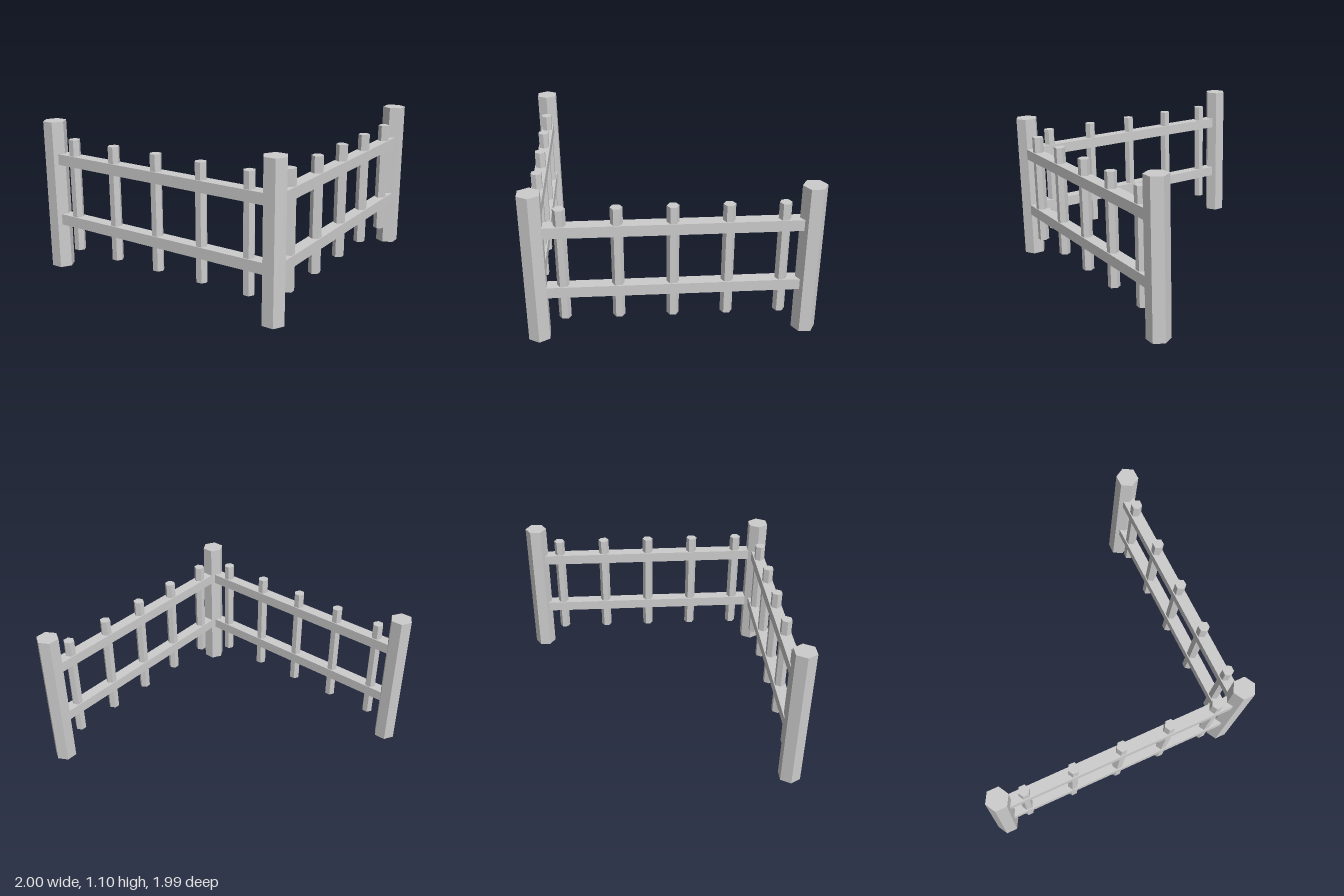
import * as THREE from 'three';

const SPAN = 1.8333; // distance between post centres
const POST_X = SPAN / 2;

export function createModel() {
  const model = new THREE.Group();
  model.name = 'cornerFence';
  const grey = new THREE.MeshStandardMaterial({ color: 0xcccccc, flatShading: true });
  grey.name = 'plain grey';

  // Hexagonal bars have a corner pointing along the run
  const hexBar = (radius, height) =>
    new THREE.CylinderGeometry(radius, radius, height, 6, 1, false, Math.PI / 2);
  const postGeometry = hexBar(0.0833, 1.1);
  const picketGeometry = hexBar(0.0417, 0.826);
  const railGeometry = new THREE.BoxGeometry(SPAN, 0.079, 0.0875);

  // One straight run of fence along x, with posts at the given positions
  function createRun(name, postPositions) {
    const run = new THREE.Group();
    run.name = name;
    const add = (part, geometry, x, y) => {
      const mesh = new THREE.Mesh(geometry, grey);
      mesh.name = part;
      mesh.position.set(x, y, 0);
      run.add(mesh);
    };
    for (const x of postPositions) add('post', postGeometry, x, 0.55);
    add('lowerRail', railGeometry, 0, 0.373);
    add('upperRail', railGeometry, 0, 0.827);
    for (let i = -2; i <= 2; i++) add('picket', picketGeometry, i * SPAN / 5, 0.571);
    model.add(run);
    return run;
  }

  // Front run holds the corner post
  const front = createRun('frontRun', [-POST_X, POST_X]);
  front.position.z = 0.9222;

  // Side run goes back from the corner
  const side = createRun('sideRun', [POST_X]);
  side.rotation.y = Math.PI / 2;
  side.position.set(POST_X, 0, 0.0056);

  return model;
}
